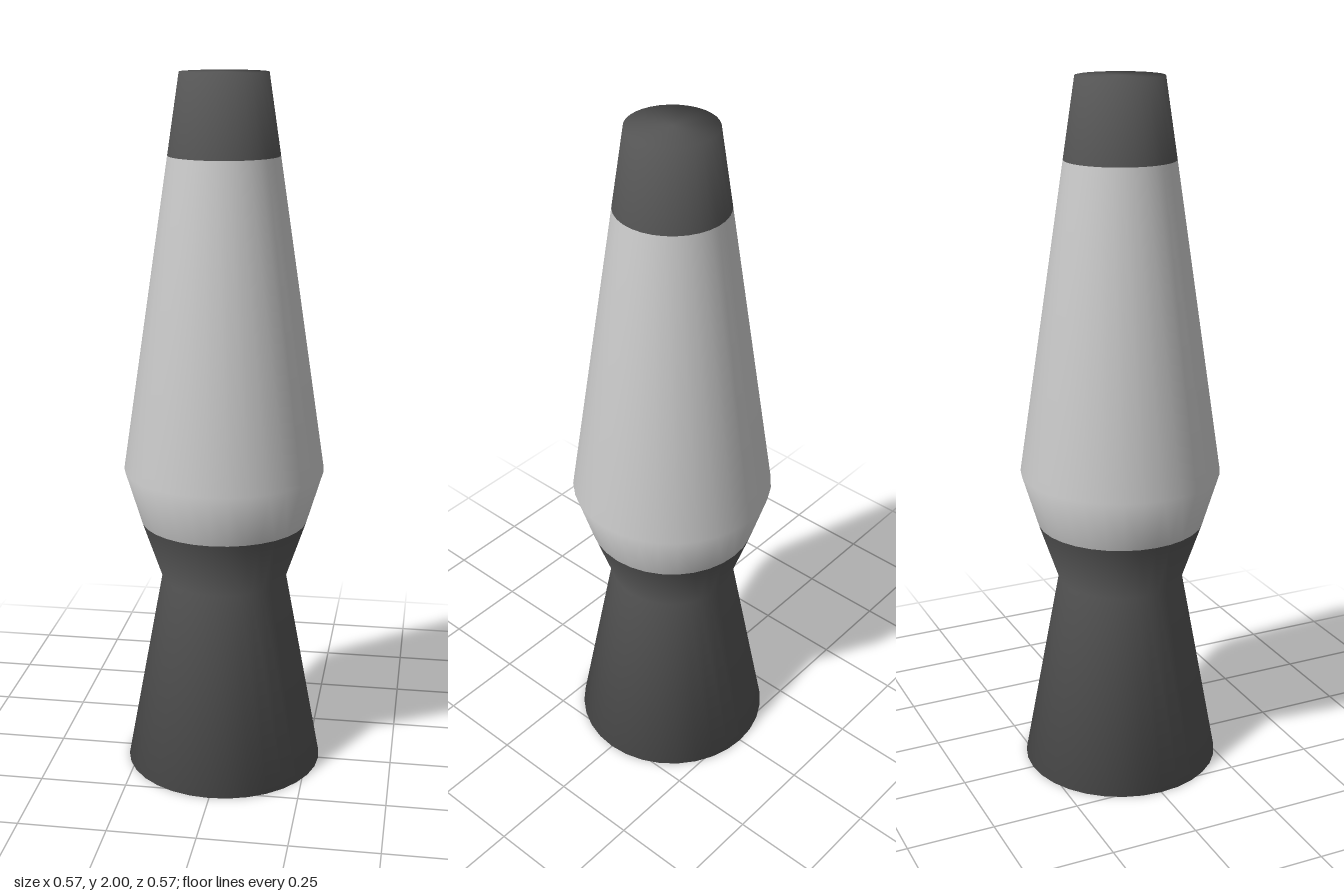
import * as THREE from 'three';

const SIDES = 32;

// Smooth turned part from [radius, height] pairs, listed from bottom to top
function turned(name, profile, color) {
  const points = profile.map(([r, y]) => new THREE.Vector2(r, y));
  const material = new THREE.MeshStandardMaterial({ color, side: THREE.DoubleSide });
  const mesh = new THREE.Mesh(new THREE.LatheGeometry(points, SIDES), material);
  mesh.name = name;
  return mesh;
}

export function createModel() {
  const lamp = new THREE.Group();
  lamp.name = 'lavaLamp';

  lamp.add(
    // Hourglass foot with a closed bottom and an open collar holding the bottle
    turned('base', [[0, 0], [0.285, 0], [0.18, 0.575], [0.238, 0.745]], 0x555555),
    // Tapered glass bottle, widest just above the collar
    turned('bottle', [[0.238, 0.745], [0.285, 0.9], [0.154, 1.78]], 0xcccccc),
    // Flush tapered cap with a flat top
    turned('cap', [[0.154, 1.78], [0.121, 2], [0, 2]], 0x555555)
  );

  return lamp;
}
